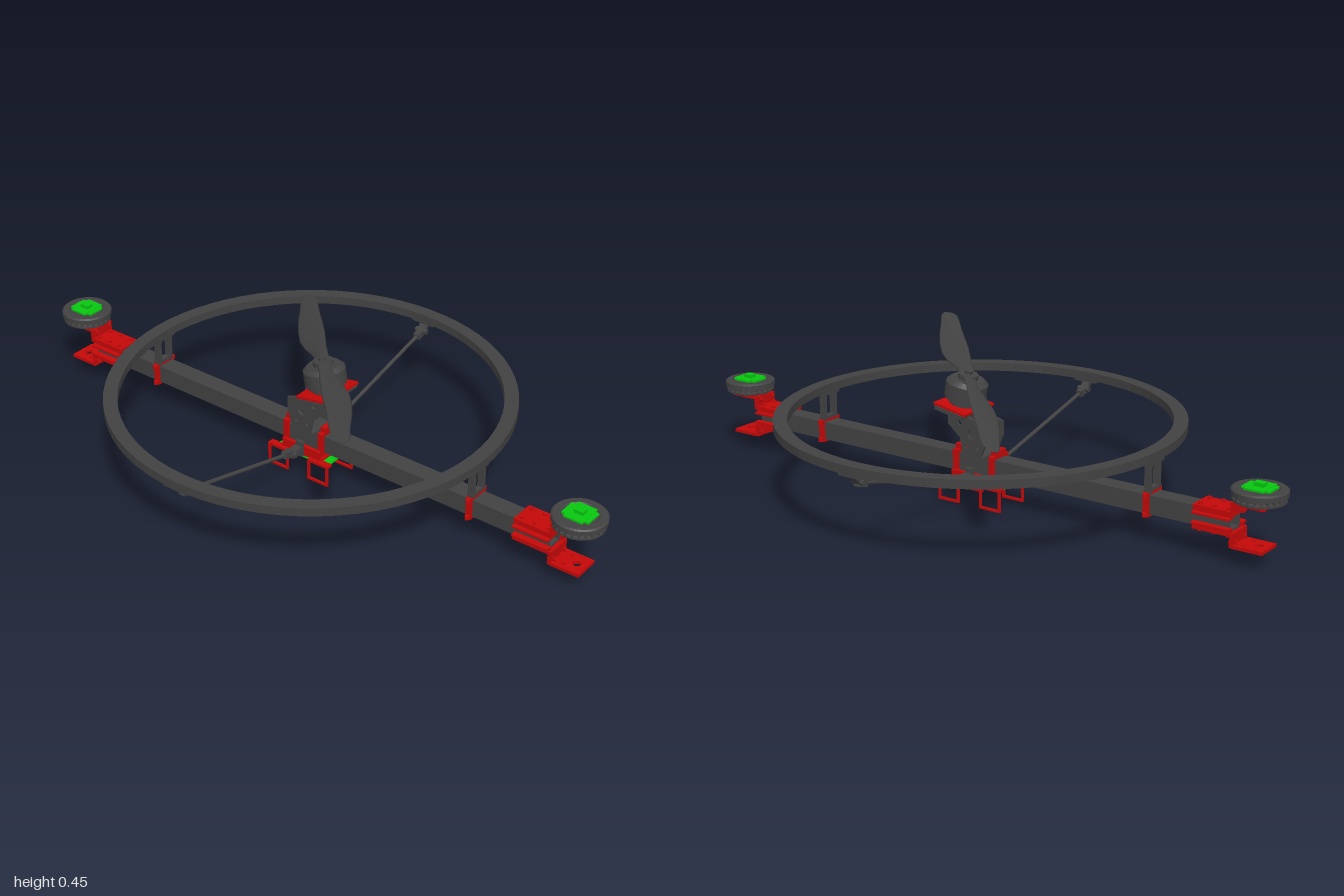
import * as THREE from 'three';

const mat = (color) => new THREE.MeshStandardMaterial({ color, flatShading: true, side: THREE.DoubleSide });

export function createModel() {
  const model = new THREE.Group();
  const dark = mat(0x424242), red = mat(0xc40808), green = mat(0x08c810);

  function add(parent, name, geo, material, x = 0, y = 0, z = 0) {
    const m = new THREE.Mesh(geo, material);
    m.name = name;
    m.position.set(x, y, z);
    parent.add(m);
    return m;
  }
  const box = (p, name, m, w, h, d, x, y, z) => add(p, name, new THREE.BoxGeometry(w, h, d), m, x, y, z);
  const cyl = (p, name, m, r, h, x, y, z, n = 32, r2 = r) => add(p, name, new THREE.CylinderGeometry(r2, r, h, n), m, x, y, z);
  const group = (parent, name) => {
    const g = new THREE.Group();
    g.name = name;
    parent.add(g);
    return g;
  };
  const rect = (Type, w, h) => new Type([[-w, -h], [w, -h], [w, h], [-w, h]].map(([x, y]) => new THREE.Vector2(x / 2, y / 2)));
  // Rectangular sleeve whose opening runs along x
  function sleeve(w, h, wall, length) {
    const s = rect(THREE.Shape, w, h);
    s.holes.push(rect(THREE.Path, w - 2 * wall, h - 2 * wall));
    return new THREE.ExtrudeGeometry(s, { depth: length, bevelEnabled: false })
      .translate(0, 0, -length / 2).rotateY(Math.PI / 2);
  }
  // Plate in the xz plane with a row of round holes
  function plate(w, d, t, holes) {
    const s = rect(THREE.Shape, w, d);
    for (const [x, z, r] of holes) s.holes.push(new THREE.Path().absarc(x, z, r, 0, Math.PI * 2, true));
    return new THREE.ExtrudeGeometry(s, { depth: t, bevelEnabled: false, curveSegments: 10 })
      .translate(0, 0, -t / 2).rotateX(-Math.PI / 2);
  }

  // Hollow main beam
  const BY = 0.118;
  add(model, 'beam', sleeve(0.058, 0.056, 0.006, 1.7), dark, 0, BY, 0);

  // Guard ring with a rectangular section
  const ring = new THREE.LatheGeometry(
    [[0.568, 0.245], [0.61, 0.245], [0.61, 0.271], [0.568, 0.271], [0.568, 0.245]].map(([r, y]) => new THREE.Vector2(r, y)), 72);
  add(model, 'guardRing', ring, dark);

  for (const s of [-1, 1]) {
    // Ring posts clamped to the beam
    const post = group(model, 'ringPost');
    post.position.x = s * 0.59;
    add(post, 'postClamp', sleeve(0.074, 0.072, 0.008, 0.018), red, 0, BY, 0);
    for (const z of [-0.024, 0.024]) {
      box(post, 'post', dark, 0.018, 0.1, 0.014, 0, 0.198, z);
      for (const y of [0.09, 0.146]) cyl(post, 'clampBolt', red, 0.007, 0.012, 0, y, z * 1.7, 8);
    }
    box(post, 'postFoot', dark, 0.018, 0.012, 0.066, 0, 0.158, 0);
    box(post, 'postHead', dark, 0.024, 0.014, 0.08, 0, 0.239, 0);

    // End bracket: two ribbed halves gripping the beam, each with an arm
    const end = group(model, 'endBracket');
    end.rotation.y = s < 0 ? Math.PI : 0;
    for (const v of [-1, 1]) {
      box(end, 'gripPlate', red, 0.12, 0.007, 0.08, 0.8, BY + v * 0.032, 0);
      for (const z of [-0.034, 0.034]) {
        box(end, 'gripCheek', red, 0.12, 0.02, 0.008, 0.8, BY + v * 0.023, z);
        box(end, 'gripFlange', red, 0.115, 0.006, 0.02, 0.8, BY + v * 0.015, z * 1.25);
        for (const x of [0.757, 0.8, 0.843]) cyl(end, 'gripBolt', red, 0.006, 0.014, x, BY + v * 0.035, z * 0.75, 8);
      }
      box(end, 'armRiser', red, 0.01, 0.042, 0.085, 0.861, BY + v * 0.045, 0);
      add(end, 'arm', plate(0.092, 0.085, 0.01, [[0.016, 0, 0.012], [-0.014, 0.024, 0.005], [-0.014, -0.024, 0.005]]),
        red, 0.91, BY + v * 0.062, 0);
      for (const z of [-0.028, 0.028]) {
        const web = box(end, 'armWeb', red, 0.022, 0.022, 0.005, 0.862, BY + v * 0.055, z);
        web.rotation.z = Math.PI / 4;
      }
    }

    // Flat end motor: grooved drum with vanes in the groove
    const motor = group(end, 'endMotor');
    motor.position.set(0.921, 0.188, 0);
    const drum = [[0, 0], [0.07, 0], [0.075, 0.003], [0.075, 0.009], [0.065, 0.012], [0.065, 0.02],
      [0.079, 0.02], [0.079, 0.034], [0.074, 0.038], [0.055, 0.038], [0.05, 0.033], [0, 0.033]];
    add(motor, 'drum', new THREE.LatheGeometry(drum.map(([r, y]) => new THREE.Vector2(r, y)), 40), dark);
    for (let i = 0; i < 24; i++) {
      const a = i * Math.PI / 12;
      box(motor, 'vane', dark, 0.014, 0.012, 0.007, 0.068 * Math.cos(a), 0.015, -0.068 * Math.sin(a)).rotation.y = a;
    }
    cyl(motor, 'motorFoot', dark, 0.03, 0.012, 0, -0.003, 0, 20);
    box(motor, 'sensorBoard', green, 0.086, 0.006, 0.056, 0, 0.039, 0);
    box(motor, 'sensorBoard', green, 0.06, 0.006, 0.08, 0, 0.04, 0);
    box(motor, 'sensorChip', green, 0.03, 0.012, 0.024, 0, 0.048, 0);

    // Diagonal brace from the hub to the ring
    const brace = group(model, 'ringBrace');
    brace.rotation.y = s < 0 ? Math.PI : 0;
    const a = new THREE.Vector3(0, 0.096, 0.11), b = new THREE.Vector3(0, 0.21, 0.56);
    const slope = -Math.atan2(b.y - a.y, b.z - a.z);
    const mid = a.clone().add(b).multiplyScalar(0.5);
    cyl(brace, 'rod', dark, 0.006, a.distanceTo(b), 0, mid.y, mid.z, 10).rotation.x = Math.PI / 2 + slope;
    box(brace, 'innerSocket', dark, 0.02, 0.02, 0.038, 0, 0.098, 0.112).rotation.x = slope;
    box(brace, 'innerFork', dark, 0.026, 0.022, 0.04, 0, 0.09, 0.08);
    cyl(brace, 'innerPin', dark, 0.009, 0.04, 0, 0.092, 0.094, 10).rotation.z = Math.PI / 2;
    box(brace, 'outerSocket', dark, 0.02, 0.02, 0.038, 0, 0.209, 0.555).rotation.x = slope;
    box(brace, 'outerLink', dark, 0.026, 0.038, 0.014, 0, 0.226, 0.578).rotation.x = 0.7;
    cyl(brace, 'outerPin', dark, 0.009, 0.04, 0, 0.215, 0.566, 10).rotation.z = Math.PI / 2;
    box(brace, 'outerFoot', dark, 0.08, 0.008, 0.034, 0, 0.241, 0.588);
  }

  // Centre clamp around the beam
  const hub = group(model, 'centreClamp');
  for (const s of [-1, 1]) {
    add(hub, 'hubClamp', sleeve(0.078, 0.076, 0.009, 0.018), red, s * 0.065, BY, 0);
    box(hub, 'hubEar', red, 0.018, 0.022, 0.05, s * 0.065, 0.16, 0);
    box(hub, 'hubSide', red, 0.14, 0.026, 0.01, 0, 0.084, s * 0.045);
    box(hub, 'hubPost', red, 0.014, 0.04, 0.03, s * 0.035, 0.074, 0);
    box(hub, 'braceAnchor', dark, 0.024, 0.05, 0.012, 0, 0.09, s * 0.054);
  }
  box(hub, 'hubTray', red, 0.15, 0.007, 0.1, 0, 0.069, 0);

  // Circuit board under the clamp
  const board = group(model, 'controlBoard');
  add(board, 'board', plate(0.19, 0.09, 0.007, [[-0.085, 0.035, 0.005], [0.085, 0.035, 0.005]]), green, 0, 0.058, 0);
  box(board, 'connector', green, 0.05, 0.012, 0.03, 0.03, 0.049, 0);
  box(board, 'chip', red, 0.024, 0.014, 0.024, -0.03, 0.048, 0);

  // Landing feet: four square loops
  for (const x of [-0.077, 0.073]) for (const s of [-1, 1]) {
    const foot = group(model, 'landingFoot');
    foot.position.set(x, 0, s * 0.06);
    for (const e of [-1, 1]) box(foot, 'footLeg', red, 0.007, 0.066, 0.007, e * 0.034, 0.033, 0);
    box(foot, 'footSole', red, 0.075, 0.007, 0.007, 0, 0.0035, 0);
    box(foot, 'footTop', red, 0.075, 0.008, 0.022, 0, 0.066, -s * 0.008);
  }

  // Tilt mount: two cheek plates with a servo between
  const mount = group(model, 'tiltMount');
  const cheek = new THREE.Shape([[-0.032, 0.148], [0.032, 0.148], [0.042, 0.2], [0.085, 0.235], [0.085, 0.272],
    [0.03, 0.272], [-0.052, 0.246], [-0.052, 0.2]].map(([x, y]) => new THREE.Vector2(x, y)));
  for (const [x, y, r] of [[0, 0.215, 0.014], [0.045, 0.245, 0.007], [-0.02, 0.175, 0.005], [0.02, 0.175, 0.005]])
    cheek.holes.push(new THREE.Path().absarc(x, y, r, 0, Math.PI * 2, true));
  for (const z of [-0.046, 0.038])
    add(mount, 'mountCheek', new THREE.ExtrudeGeometry(cheek, { depth: 0.008, bevelEnabled: false }), dark, 0, 0, z);
  box(mount, 'servo', dark, 0.06, 0.06, 0.07, -0.005, 0.205, 0);
  box(mount, 'mountBase', dark, 0.09, 0.008, 0.09, 0, 0.15, 0);

  // Tilted rotor unit
  const rotor = group(model, 'rotorUnit');
  rotor.position.set(0.045, 0.376, 0);
  rotor.rotation.z = 0.18;
  box(rotor, 'tiltPlate', dark, 0.1, 0.012, 0.155, 0, -0.098, 0);
  box(rotor, 'plateFrame', red, 0.115, 0.008, 0.15, 0, -0.088, 0);
  cyl(rotor, 'motorBase', dark, 0.045, 0.014, 0, -0.077, 0);
  cyl(rotor, 'motorStator', dark, 0.056, 0.012, 0, -0.066, 0);
  cyl(rotor, 'motorBell', dark, 0.063, 0.044, 0, -0.04, 0, 36);
  cyl(rotor, 'bellTop', dark, 0.063, 0.012, 0, -0.012, 0, 36, 0.05);
  cyl(rotor, 'propHub', dark, 0.03, 0.016, 0, 0.001, 0, 24);
  cyl(rotor, 'propNut', dark, 0.012, 0.012, 0, 0.013, 0, 6);

  // Propeller blade lofted from sections: radius, half chord, sweep, pitch
  const sections = [[0, 0.02, 0, 0.1], [0.04, 0.021, 0, 0.3], [0.09, 0.026, -0.004, 0.42], [0.15, 0.036, -0.01, 0.38],
    [0.21, 0.042, -0.013, 0.33], [0.28, 0.041, -0.012, 0.28], [0.36, 0.036, -0.008, 0.24], [0.44, 0.03, 0, 0.21],
    [0.495, 0.026, 0.003, 0.19], [0.52, 0.018, 0.001, 0.18], [0.531, 0.005, -0.004, 0.18]];
  const N = 14, pos = [], idx = [];
  sections.forEach(([r, half, sweep, pitch], j) => {
    const thick = 0.008 * (1 - r / 0.7);
    for (let i = 0; i < N; i++) {
      const t = i / N * Math.PI * 2, c = half * Math.cos(t) + sweep, h = thick * Math.sin(t);
      pos.push(r, c * Math.sin(pitch) + h * Math.cos(pitch), c * Math.cos(pitch) - h * Math.sin(pitch));
      if (j < sections.length - 1) {
        const p = j * N + i, q = j * N + (i + 1) % N;
        idx.push(p, p + N, q, q, p + N, q + N);
      }
    }
  });
  for (let i = 1; i < N - 1; i++) idx.push((sections.length - 1) * N, (sections.length - 1) * N + i + 1, (sections.length - 1) * N + i);
  for (let k = 0; k < idx.length; k += 3) [idx[k + 1], idx[k + 2]] = [idx[k + 2], idx[k + 1]];
  const blade = new THREE.BufferGeometry();
  blade.setAttribute('position', new THREE.Float32BufferAttribute(pos, 3));
  blade.setIndex(idx);
  blade.computeVertexNormals();
  const smoothDark = new THREE.MeshStandardMaterial({ color: 0x424242, side: THREE.DoubleSide });
  for (const turn of [0, Math.PI]) add(rotor, 'propBlade', blade, smoothDark, 0, 0.002, 0).rotation.y = turn - 0.8;

  return model;
}
